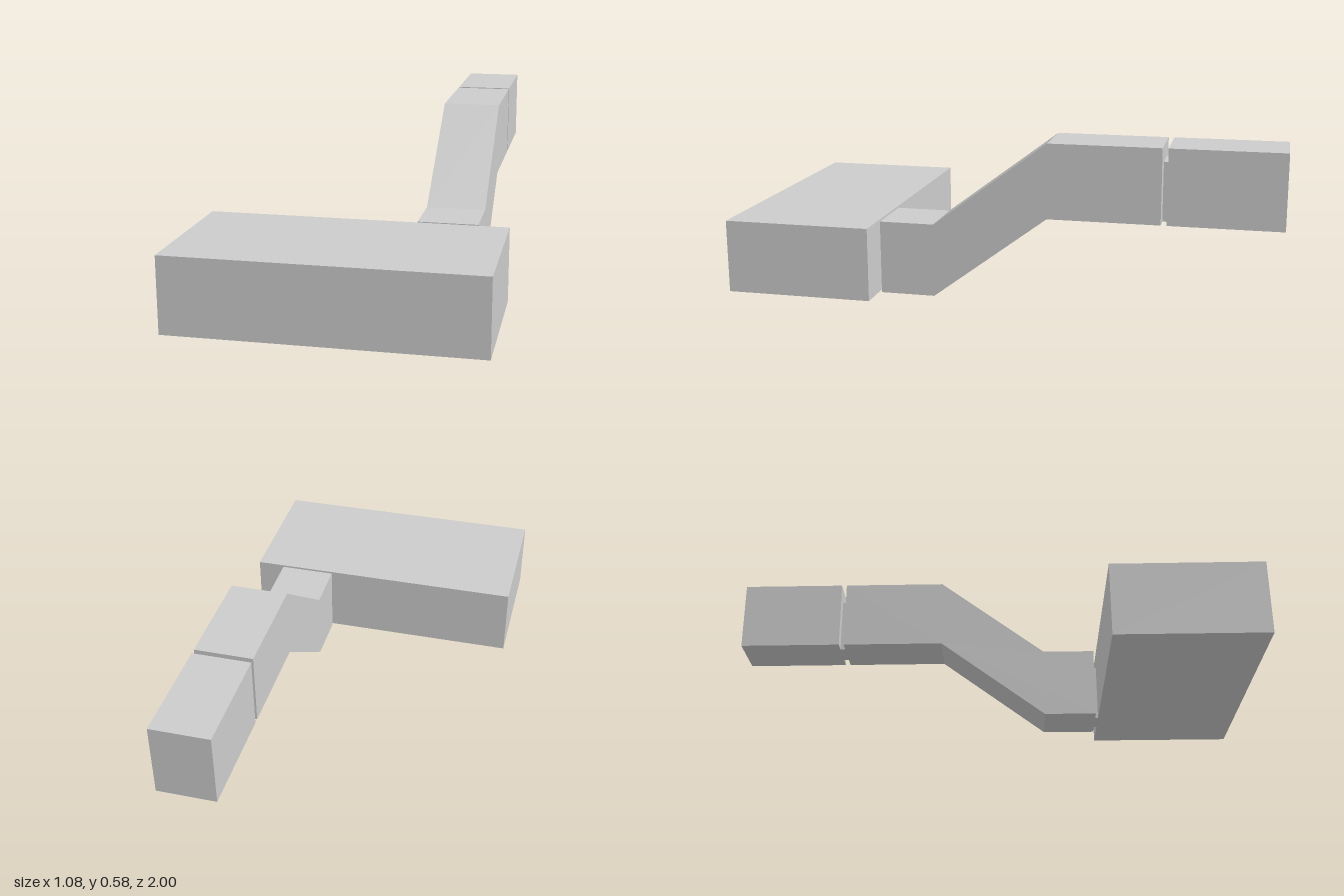
import * as THREE from 'three';

export function createModel() {
  const model = new THREE.Group();
  const material = new THREE.MeshStandardMaterial({ color: 0xcccccc, flatShading: true });

  const add = (name, geometry) => {
    const mesh = new THREE.Mesh(geometry, material);
    mesh.name = name;
    model.add(mesh);
  };

  // Box given by its [min, max] extents on each axis
  const addBox = (name, [x0, x1], [y0, y1], [z0, z1]) => {
    const geometry = new THREE.BoxGeometry(x1 - x0, y1 - y0, z1 - z0);
    geometry.translate((x0 + x1) / 2, (y0 + y1) / 2, (z0 + z1) / 2);
    add(name, geometry);
  };

  const armX = [0.215, 0.43];
  const tabX = [0.265, 0.373];

  // Wide front block and small rear block
  addBox('frontBlock', [-0.54, 0.54], [0, 0.27], [0.456, 1]);
  addBox('rearBlock', armX, [0.313, 0.585], [-1, -0.597]);

  // Narrow tabs bridging the gaps at both ends of the arm
  addBox('frontTab', tabX, [0, 0.217], [0.445, 0.456]);
  addBox('rearTab', tabX, [0.313, 0.527], [-0.597, -0.577]);

  // Stepped arm: side profile in (z, y), extruded across x
  const profile = [
    [0.445, 0], [0.445, 0.27], [0.243, 0.27], [-0.175, 0.585],
    [-0.577, 0.585], [-0.577, 0.313], [-0.175, 0.313], [0.243, 0],
  ].map(([z, y]) => new THREE.Vector2(z, y));
  const arm = new THREE.ExtrudeGeometry(new THREE.Shape(profile), {
    depth: armX[1] - armX[0],
    bevelEnabled: false,
  });
  arm.rotateY(-Math.PI / 2).translate(armX[1], 0, 0);
  add('steppedArm', arm);

  return model;
}
